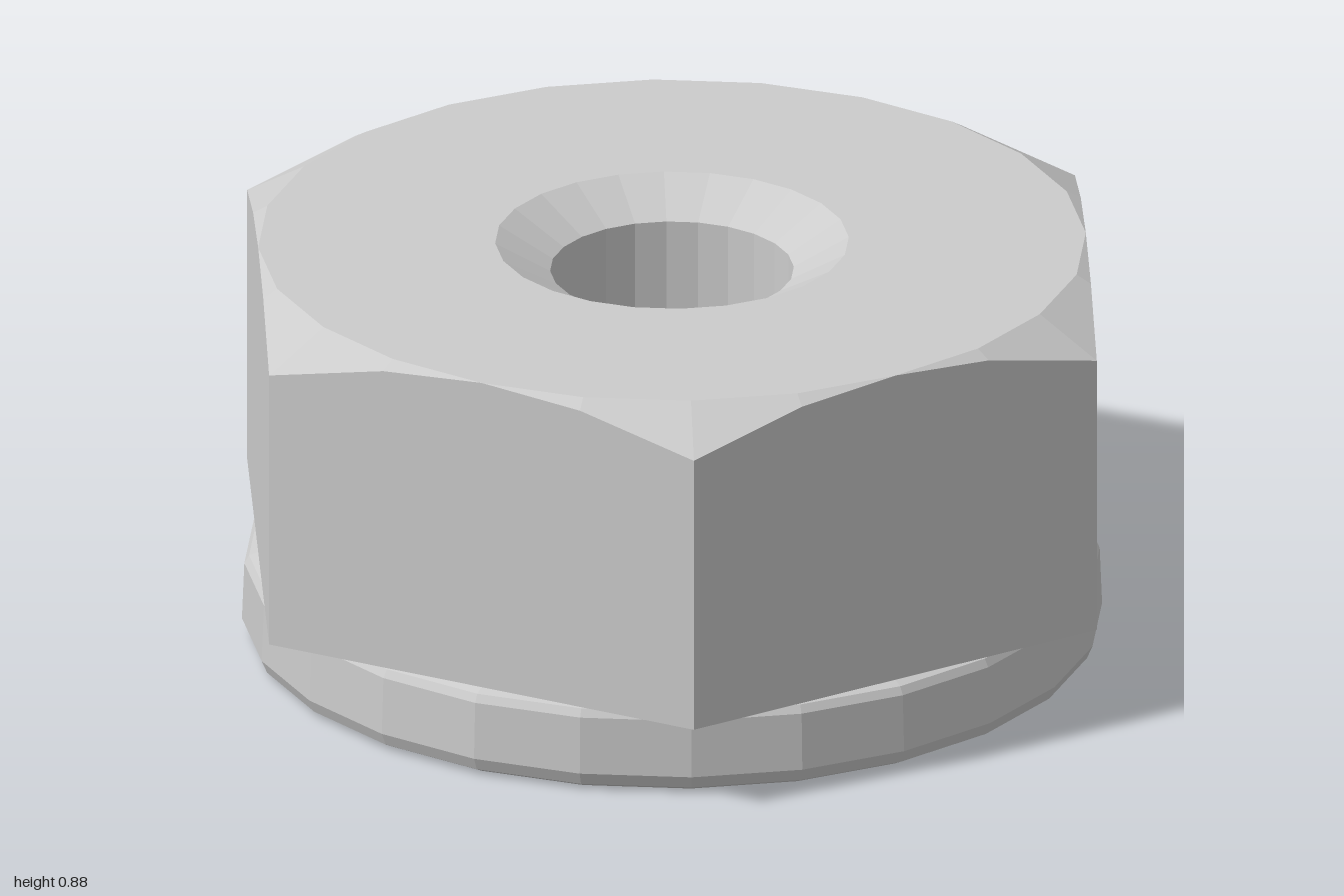
import * as THREE from 'three';

const SIDES = 24;
const FLAT = Math.sqrt(3) / 2; // centre to hexagon flat
const TOP = 0.88;
const SEAT = 0.19; // where hexagon meets collar

// Hexagon outline with corners on the x axis, as a radius by angle
const hexRadius = (a) => {
  const sector = Math.PI / 3;
  const local = (((a + sector / 2) % sector) + sector) % sector - sector / 2;
  return FLAT / Math.cos(local);
};
// Height where the conical chamfer cuts the hexagon sides
const chamferHeight = (a) => TOP - 0.08 * (hexRadius(a) - FLAT) / (1 - FLAT);

const value = (v, a) => (typeof v === 'function' ? v(a) : v);

// Skins a list of [radius, height] rings; either may be a function of angle
function loft(name, rings, material) {
  const point = ([r, y], j) => {
    const a = ((j % SIDES) / SIDES) * Math.PI * 2;
    const radius = value(r, a);
    return new THREE.Vector3(radius * Math.sin(a), value(y, a), radius * Math.cos(a));
  };
  const positions = [];
  const addTriangle = (...corners) => {
    if (new THREE.Triangle(...corners).getArea() < 1e-7) return;
    corners.forEach((p) => positions.push(p.x, p.y, p.z));
  };
  for (let i = 0; i < rings.length - 1; i++) {
    for (let j = 0; j < SIDES; j++) {
      const a = point(rings[i], j), b = point(rings[i], j + 1);
      const c = point(rings[i + 1], j + 1), d = point(rings[i + 1], j);
      addTriangle(a, b, c);
      addTriangle(a, c, d);
    }
  }
  const geometry = new THREE.BufferGeometry();
  geometry.setAttribute('position', new THREE.Float32BufferAttribute(positions, 3));
  geometry.computeVertexNormals();
  const mesh = new THREE.Mesh(geometry, material);
  mesh.name = name;
  return mesh;
}

export function createModel() {
  const group = new THREE.Group();
  group.name = 'flangedHexNut';
  const metal = new THREE.MeshStandardMaterial({ color: 0xcccccc, flatShading: true });

  group.add(
    // Hexagonal body: underside, sides, corner chamfer, top face
    loft('hexBody', [
      [0.8, SEAT], [hexRadius, SEAT], [hexRadius, chamferHeight], [FLAT, TOP], [0.37, TOP],
    ], metal),
    // Round collar with softened rims
    loft('collar', [
      [0.37, 0], [0.865, 0], [0.888, 0.012], [0.9, 0.04],
      [0.895, 0.165], [0.885, 0.182], [0.865, SEAT],
    ], metal),
    // Through hole, countersunk at both ends
    loft('bore', [
      [0.37, TOP], [0.255, TOP - 0.065], [0.255, 0.065], [0.37, 0],
    ], metal),
  );
  return group;
}
